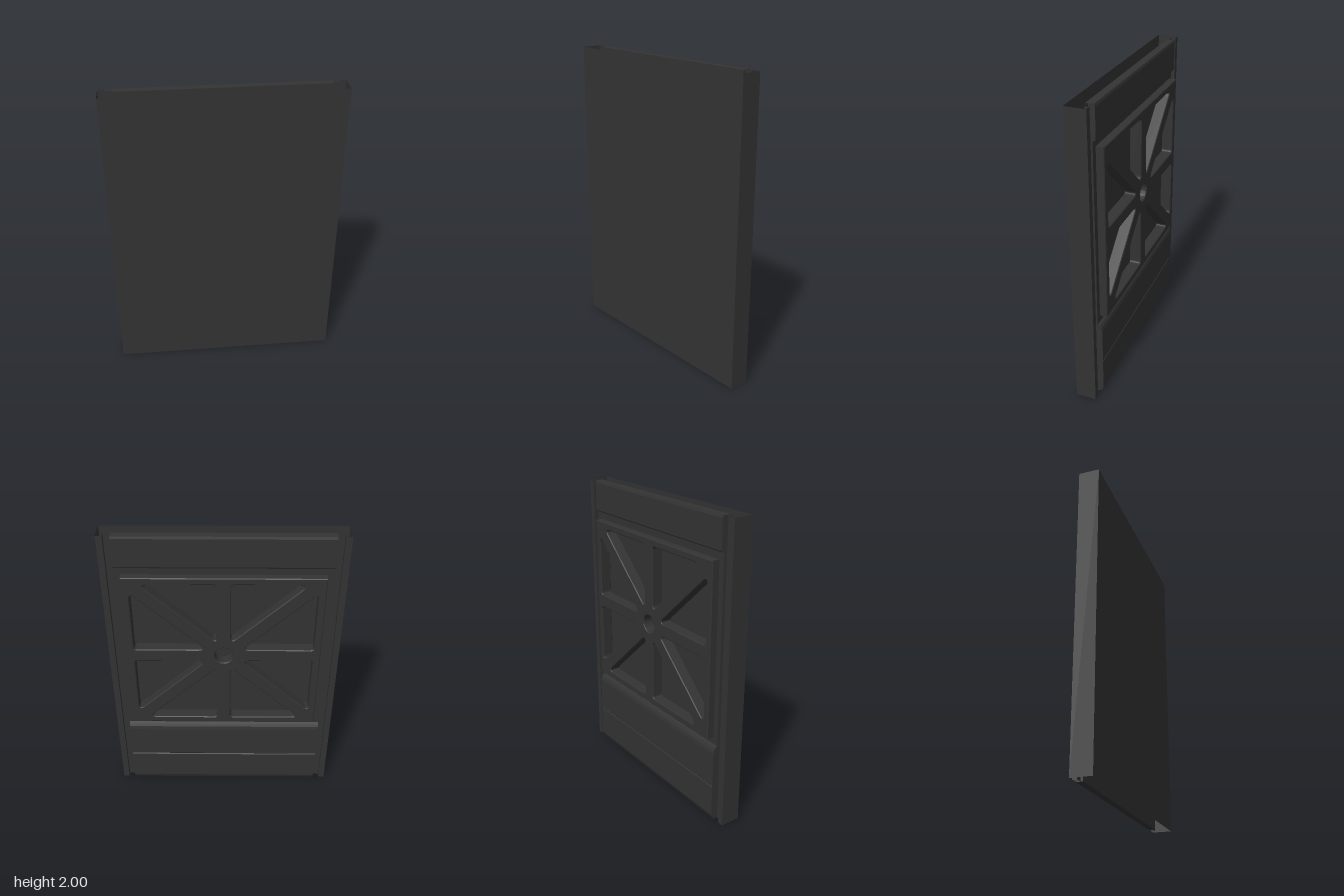
import * as THREE from 'three';

const H = 2, PANEL_W = 1.328;
const PLATE = { w: 0.625, y0: 0.59, y1: 1.74 };
const mat = new THREE.MeshStandardMaterial({ color: 0x333333 });
const sheetMat = new THREE.MeshStandardMaterial({ color: 0x333333, side: THREE.DoubleSide });

function add(parent, name, geometry, material = mat) {
  const mesh = new THREE.Mesh(geometry, material);
  mesh.name = name;
  parent.add(mesh);
  return mesh;
}

function rectPoints(x0, y0, x1, y1) {
  return [[x0, y0], [x1, y0], [x1, y1], [x0, y1]].map(p => new THREE.Vector2(...p));
}

// Closed path through the points with every corner rounded
function roundedPath(points, r) {
  const path = new THREE.Path();
  points.forEach((p, i) => {
    const a = points[(i + points.length - 1) % points.length];
    const b = points[(i + 1) % points.length];
    const da = a.clone().sub(p).normalize(), db = b.clone().sub(p).normalize();
    const cut = Math.min(r / Math.tan(Math.acos(da.dot(db)) / 2), 0.06);
    const s = p.clone().addScaledVector(da, cut), e = p.clone().addScaledVector(db, cut);
    if (i === 0) path.moveTo(s.x, s.y); else path.lineTo(s.x, s.y);
    path.quadraticCurveTo(p.x, p.y, e.x, e.y);
  });
  path.closePath();
  return path;
}

// Folded sheet standing full height, following a plan of [x, z] points
function foldedSheet(parent, plan) {
  for (let i = 0; i < plan.length - 1; i++) {
    const [x0, z0] = plan[i], [x1, z1] = plan[i + 1];
    const g = new THREE.PlaneGeometry(Math.hypot(x1 - x0, z1 - z0), H);
    g.rotateY(-Math.atan2(z1 - z0, x1 - x0));
    g.translate((x0 + x1) / 2, H / 2, (z0 + z1) / 2);
    add(parent, 'skinFold', g, sheetMat);
  }
}

// Horizontal slat across the back, from a [depth, y] section
function slat(parent, name, section) {
  const g = new THREE.ExtrudeGeometry(
    new THREE.Shape(section.map(p => new THREE.Vector2(...p))),
    { depth: PANEL_W, bevelEnabled: false });
  g.rotateY(Math.PI / 2);
  g.translate(-PANEL_W / 2, 0, 0);
  add(parent, name, g);
}

export function createModel() {
  const group = new THREE.Group();
  group.name = 'doorPanel';

  // Outer skin: front face, sides, return flanges and grooves
  const skin = new THREE.Group();
  skin.name = 'outerSkin';
  group.add(skin);
  const half = [[0.75, 0.09], [0.75, -0.045], [0.71, -0.045], [0.71, -0.015], [0.664, -0.015]];
  foldedSheet(skin, [...half.map(([x, z]) => [-x, z]).reverse(), ...half]);

  // Inner panel with an opening for the ribbed plate
  const panel = new THREE.Shape(rectPoints(-PANEL_W / 2, 0, PANEL_W / 2, H));
  panel.holes.push(new THREE.Path(rectPoints(-0.615, 0.6, 0.615, 1.73)));
  const panelGeo = new THREE.ExtrudeGeometry(panel, { depth: 0.035, bevelEnabled: false });
  panelGeo.translate(0, 0, -0.035);
  add(group, 'innerPanel', panelGeo);

  // Back slats with eased edges
  slat(group, 'lowerSlat', [[0.035, 0], [0.05, 0.005], [0.061, 0.03], [0.065, 0.04],
    [0.065, 0.252], [0.06, 0.258], [0.035, 0.258]]);
  slat(group, 'middleSlat', [[0.035, 0.258], [0.06, 0.258], [0.065, 0.265],
    [0.065, 0.495], [0.06, 0.52], [0.05, 0.537], [0.035, 0.545]]);
  slat(group, 'upperSlat', [[0.035, 1.785], [0.05, 1.79], [0.055, 1.8],
    [0.055, 1.985], [0.05, 2], [0.035, 2]]);

  // Ribbed plate: straight and diagonal spokes left between eight pockets
  const cy = (PLATE.y0 + PLATE.y1) / 2, hh = (PLATE.y1 - PLATE.y0) / 2;
  const plate = new THREE.Shape(rectPoints(-PLATE.w, -hh, PLATE.w, hh));
  const px = PLATE.w - 0.045, py = hh - 0.045, rib = 0.044;
  const diag = Math.hypot(px, py), s = py / diag, c = px / diag;
  for (const sx of [1, -1]) {
    for (const sy of [1, -1]) {
      const tall = [[rib, (rib + rib * s) / c], [(py * c - rib) / s, py], [rib, py]];
      const wide = [[(rib + rib * c) / s, rib], [px, rib], [px, (px * s - rib) / c]];
      for (const tri of [tall, wide]) {
        plate.holes.push(roundedPath(tri.map(([x, y]) => new THREE.Vector2(x * sx, y * sy)), 0.022));
      }
    }
  }
  const hub = new THREE.Path();
  hub.absarc(0, 0, 0.06, 0, Math.PI * 2, true);
  plate.holes.push(hub);
  const b = 0.005;
  const plateGeo = new THREE.ExtrudeGeometry(plate, {
    depth: 0.07, bevelThickness: b, bevelSize: b, bevelOffset: -b, bevelSegments: 1, curveSegments: 10
  });
  plateGeo.translate(0, cy, -0.085 + b);
  add(group, 'ribbedPlate', plateGeo);

  // Floor closing the pockets
  const floor = add(group, 'pocketFloor', new THREE.BoxGeometry(PLATE.w * 2, hh * 2, 0.016));
  floor.position.set(0, cy, 0.002);

  return group;
}
